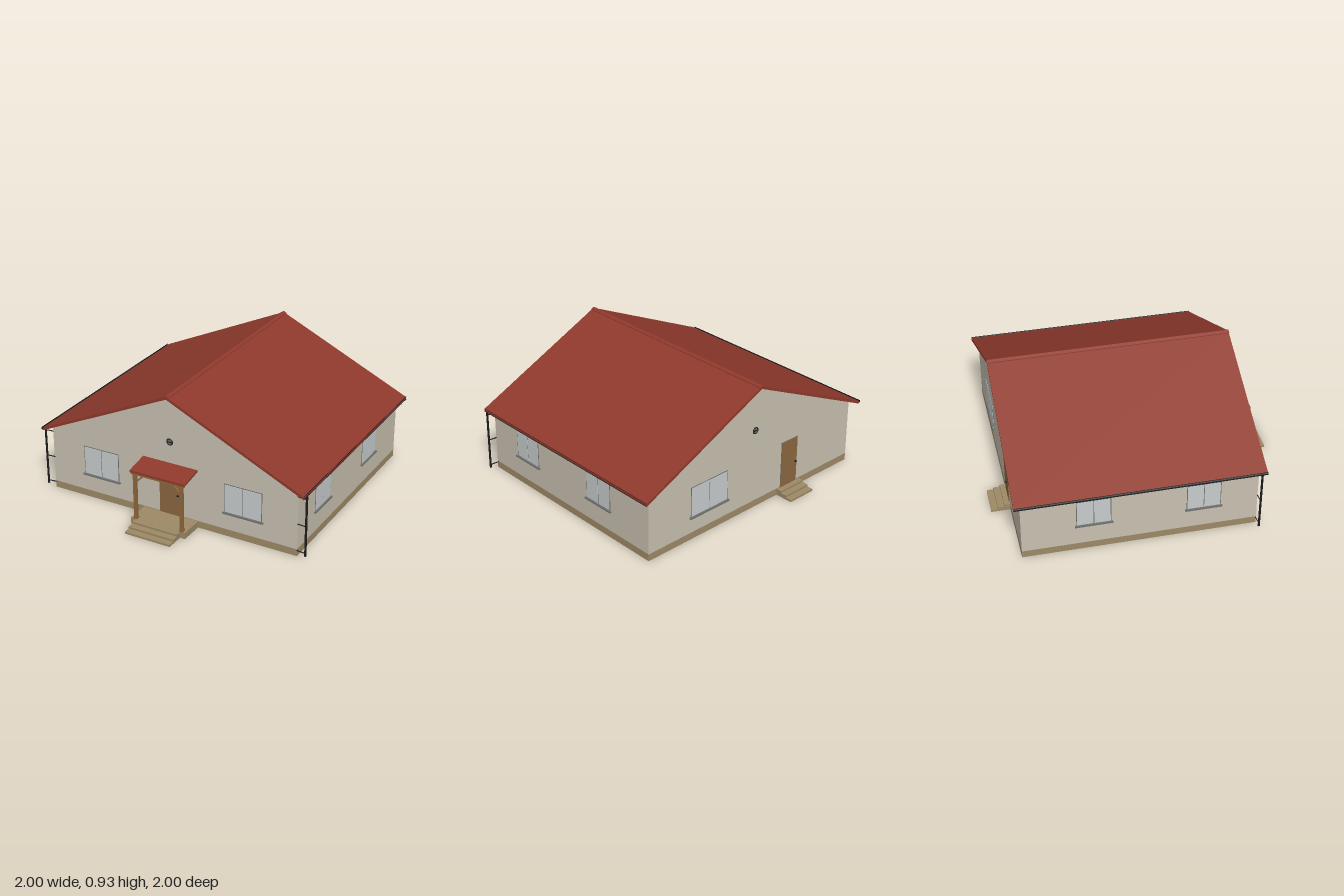
import * as THREE from 'three';

const mat = (name, color, side = THREE.FrontSide) => {
  const m = new THREE.MeshStandardMaterial({ color, side });
  m.name = name;
  return m;
};

export function createModel() {
  const M = {
    wall: mat('wall plaster', 0xc8c0b0),
    stone: mat('plinth stone', 0x9e8966),
    roof: mat('roof red', 0x8f392c),
    wood: mat('post wood', 0x8f683c),
    door: mat('door wood', 0x8a673f),
    glass: mat('window glass', 0xc8cccd),
    frame: mat('window frame', 0x70726f),
    dark: mat('gutter black', 0x1c1c1c, THREE.DoubleSide),
  };
  const house = new THREE.Group();
  house.name = 'house';
  const FRONT = 0.7, BACK = -0.87, HALF = 0.93, SLOPE = 0.465;

  const add = (parent, name, geo, material, x = 0, y = 0, z = 0) => {
    const m = new THREE.Mesh(geo, material);
    m.name = name;
    m.position.set(x, y, z);
    parent.add(m);
    return m;
  };
  // box given by its lower and upper limits on each axis
  const box = (parent, name, material, [x0, x1], [y0, y1], [z0, z1]) =>
    add(parent, name, new THREE.BoxGeometry(x1 - x0, y1 - y0, z1 - z0), material,
      (x0 + x1) / 2, (y0 + y1) / 2, (z0 + z1) / 2);
  // outline in x,y pulled from z0 to z1
  const prism = (parent, name, material, pts, z0, z1) =>
    add(parent, name, new THREE.ExtrudeGeometry(
      new THREE.Shape(pts.map(p => new THREE.Vector2(...p))),
      { depth: z1 - z0, bevelEnabled: false }), material, 0, 0, z0);
  // round bar between two points
  const bar = (parent, name, material, a, b, r, sides = 8) => {
    const A = new THREE.Vector3(...a), B = new THREE.Vector3(...b), d = B.clone().sub(A);
    const m = add(parent, name, new THREE.CylinderGeometry(r, r, d.length(), sides), material);
    m.position.copy(A).add(B).multiplyScalar(0.5);
    m.quaternion.setFromUnitVectors(new THREE.Vector3(0, 1, 0), d.normalize());
    return m;
  };

  // Body
  box(house, 'plinth', M.stone, [-HALF, HALF], [0, 0.05], [BACK, FRONT]);
  const wallTop = 0.902 - HALF * SLOPE;
  prism(house, 'walls', M.wall,
    [[-HALF, 0.05], [HALF, 0.05], [HALF, wallTop], [0, 0.902], [-HALF, wallTop]], BACK, FRONT);

  // Gable roof with ridge cap
  const eave = 0.985, drop = eave * SLOPE;
  for (const s of [1, -1]) {
    const pts = [[0, 0.92], [0, 0.9], [s * eave, 0.9 - drop], [s * eave, 0.92 - drop]];
    prism(house, s > 0 ? 'leftRoof' : 'rightRoof', M.roof, pts, -0.915, 0.74);
  }
  prism(house, 'ridgeCap', M.roof,
    [[-0.02, 0.911], [0.02, 0.911], [0.02, 0.916], [0, 0.927], [-0.02, 0.916]], -0.917, 0.742);

  // Gutters, eave brackets and downpipes
  for (const s of [1, -1]) {
    const drain = new THREE.Group();
    drain.name = s > 0 ? 'leftDrainage' : 'rightDrainage';
    house.add(drain);
    const g = add(drain, 'gutter',
      new THREE.CylinderGeometry(0.01, 0.01, 1.655, 10, 1, true, Math.PI / 2, Math.PI),
      M.dark, s * 0.989, 0.457, -0.0875);
    g.rotation.set(Math.PI / 2, 0, 0);
    g.geometry.rotateY(Math.PI / 2);
    for (let i = 0; i < 10; i++) {
      const z = 0.66 - i * 0.165;
      bar(drain, 'eaveBracket', M.dark, [s * HALF, 0.432, z], [s * 0.988, 0.446, z], 0.003, 5);
    }
    bar(drain, 'downpipe', M.dark, [s * 0.99, 0.018, 0.703], [s * 0.99, 0.45, 0.703], 0.0075, 10);
    for (const y of [0.04, 0.235, 0.43])
      bar(drain, 'pipeClamp', M.dark, [s * 0.92, y, 0.697], [s * 0.99, y, 0.703], 0.0035, 6);
  }

  // Double window facing +z, then turned onto its wall
  const windowUnit = (name, w, y0, y1, x, z, turn) => {
    const g = new THREE.Group();
    g.name = name;
    g.position.set(x, 0, z);
    g.rotation.y = turn;
    house.add(g);
    const h = w / 2, t = 0.005;
    box(g, 'frame', M.frame, [-h, h], [y0, y1], [-0.004, 0.002]);
    box(g, 'leftPane', M.glass, [t / 2, h - t], [y0 + t, y1 - t], [-0.002, 0.004]);
    box(g, 'rightPane', M.glass, [t - h, -t / 2], [y0 + t, y1 - t], [-0.002, 0.004]);
    box(g, 'sill', M.frame, [-h - 0.01, h + 0.01], [y0 - 0.008, y0 + 0.002], [-0.004, 0.014]);
  };
  for (const s of [1, -1]) {
    windowUnit('frontWindow', 0.275, 0.175, 0.385, s * 0.54, FRONT, 0);
    windowUnit('sideWindow', 0.23, 0.2, 0.395, s * HALF, 0.335, s * Math.PI / 2);
    windowUnit('sideWindow', 0.23, 0.2, 0.395, s * HALF, -0.395, s * Math.PI / 2);
  }
  windowUnit('backWindow', 0.325, 0.165, 0.385, 0.408, BACK, Math.PI);

  // Doors
  const door = (name, w, x, z, turn) => {
    const g = new THREE.Group();
    g.name = name;
    g.position.set(x, 0, z);
    g.rotation.y = turn;
    house.add(g);
    const h = w / 2;
    box(g, 'doorFrame', M.frame, [-h - 0.003, h + 0.003], [0.045, 0.388], [-0.004, 0.001]);
    box(g, 'doorLeaf', M.door, [-h, h], [0.046, 0.385], [-0.002, 0.004]);
    box(g, 'doorHandle', M.dark, [h - 0.022, h - 0.008], [0.196, 0.204], [0.003, 0.014]);
  };
  door('frontDoor', 0.156, -0.004, FRONT, 0);
  door('backDoor', 0.15, -0.337, BACK, Math.PI);

  // Round gable vents
  for (const [z, s] of [[FRONT, 1], [BACK, -1]]) {
    const g = new THREE.Group();
    g.name = 'gableVent';
    g.position.set(0, 0.582, z);
    house.add(g);
    add(g, 'ventRing', new THREE.TorusGeometry(0.021, 0.004, 8, 24), M.dark, 0, 0, s * 0.002);
    const disc = add(g, 'ventPane', new THREE.CylinderGeometry(0.02, 0.02, 0.006, 24), M.frame);
    disc.rotation.x = Math.PI / 2;
    box(g, 'ventBar', M.dark, [-0.02, 0.02], [-0.004, 0.003], [-0.005, 0.005]);
  }

  // Porch floor and steps
  box(house, 'porchFloor', M.stone, [-0.208, 0.205], [0, 0.046], [FRONT, 0.868]);
  for (let i = 0; i < 3; i++) {
    const y = 0.045 - i * 0.015, reach = 0.91 + i * 0.045;
    box(house, 'frontStep', M.stone, [-0.172, 0.168], [0, y], [0.86, reach]);
    box(house, 'backStep', M.stone, [-0.445, -0.23], [0, y], [-reach, BACK]);
  }

  // Porch timber frame: posts, beams and curved braces
  const porch = new THREE.Group();
  porch.name = 'porch';
  house.add(porch);
  for (const s of [1, -1]) {
    const x = s * 0.175;
    box(porch, 'porchPost', M.wood, [x - 0.011, x + 0.011], [0.045, 0.378], [0.844, 0.866]);
    box(porch, 'postFoot', M.wood, [x - 0.014, x + 0.014], [0.045, 0.06], [0.841, 0.869]);
    const inner = s * 0.165;
    prism(porch, 'porchBrace', M.wood, [[inner, 0.31], [inner, 0.328], [inner - s * 0.048, 0.376],
      [inner - s * 0.064, 0.376], [inner - s * 0.012, 0.326]], 0.848, 0.862);
    const rafter = box(porch, 'sideBeam', M.wood, [x - 0.009, x + 0.009], [0.383, 0.4], [0.7, 0.86]);
    rafter.rotation.x = 0.18;
  }
  box(porch, 'frontBeam', M.wood, [-0.2, 0.197], [0.372, 0.386], [0.844, 0.866]);

  // Sloping porch roof: side outline in z,y pulled across x
  const canopy = new THREE.ExtrudeGeometry(new THREE.Shape([
    [-0.866, 0.384], [-0.7, 0.413], [-0.7, 0.428], [-0.866, 0.399],
  ].map(p => new THREE.Vector2(...p)).reverse()), { depth: 0.412, bevelEnabled: false });
  canopy.rotateY(Math.PI / 2);
  add(porch, 'porchRoof', canopy, M.roof, -0.208);

  return house;
}
